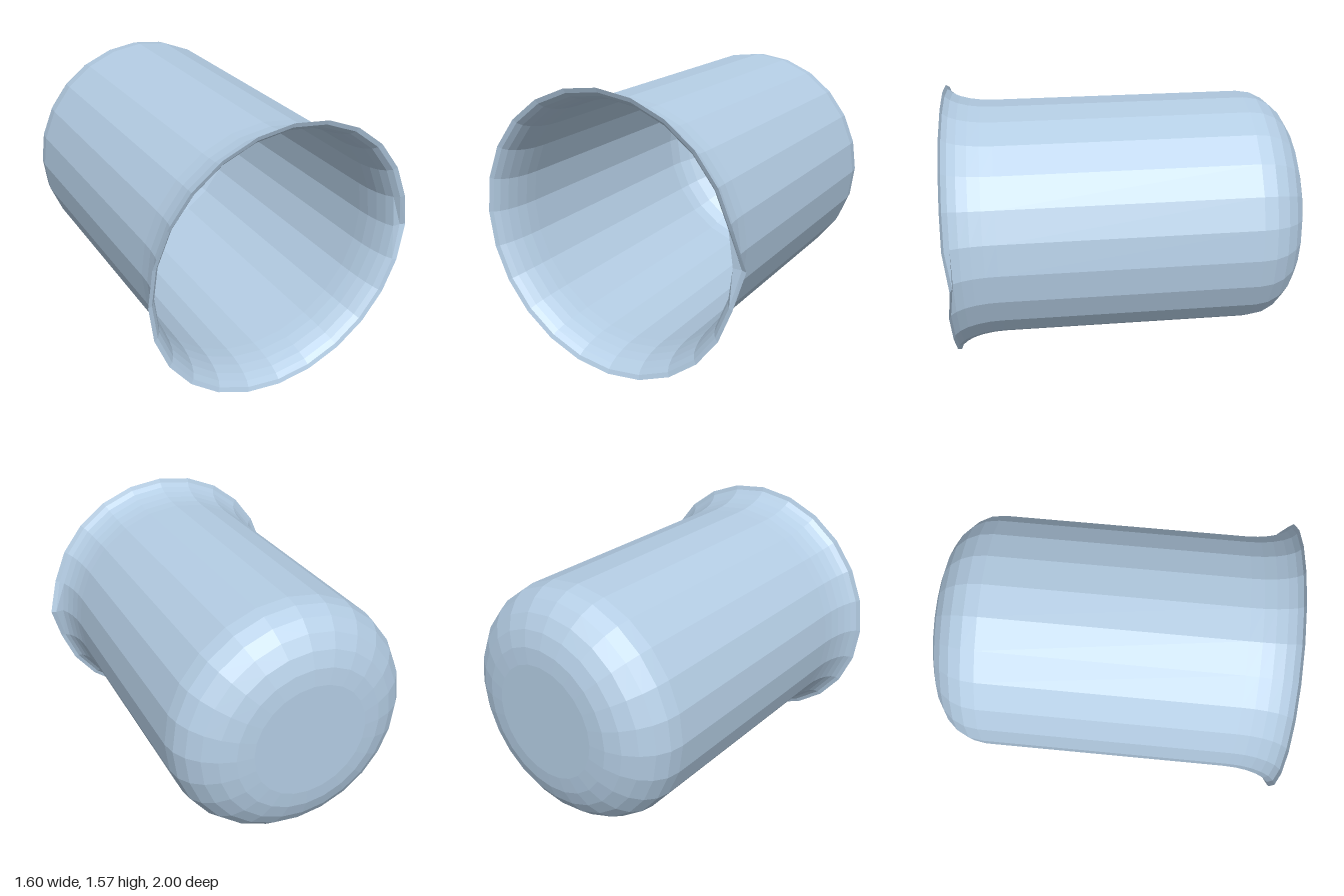
import * as THREE from 'three';

const SIDES = 24;
const STEPS = 6; // segments in each rounded section
const RADIUS = 0.69;
const RIM = 0.785;

export function createModel() {
  const group = new THREE.Group();
  group.name = 'beaker';

  // Profile (radius, depth) from the closed base to the flared rim
  const profile = [new THREE.Vector2(0, -1)];
  for (let i = 0; i <= STEPS; i++) {
    const a = (i / STEPS) * Math.PI / 2;
    profile.push(new THREE.Vector2(0.33 + 0.36 * Math.sin(a), -0.7 - 0.3 * Math.cos(a)));
  }
  for (let i = 0; i <= STEPS; i++) {
    const a = (i / STEPS) * Math.PI / 2;
    profile.push(new THREE.Vector2(RIM - (RIM - RADIUS) * Math.cos(a), 0.73 + 0.27 * Math.sin(a)));
  }

  // Single thin wall, open towards +z
  const geometry = new THREE.LatheGeometry(profile, SIDES);
  geometry.rotateX(Math.PI / 2);

  // Pouring spout: the two outermost rings are pulled out on the +x side
  const column = (SIDES / 4) * profile.length;
  const last = profile.length - 1;
  geometry.attributes.position.setXYZ(column + last - 1, 0.785, 0, 0.962);
  geometry.attributes.position.setXYZ(column + last, 0.815, 0, 0.974);
  geometry.computeVertexNormals();

  const material = new THREE.MeshStandardMaterial({
    color: 0xb4cde4,
    flatShading: true,
    side: THREE.DoubleSide,
  });
  const wall = new THREE.Mesh(geometry, material);
  wall.name = 'beakerWall';
  wall.position.set(-0.015, RIM, 0);
  group.add(wall);

  return group;
}
